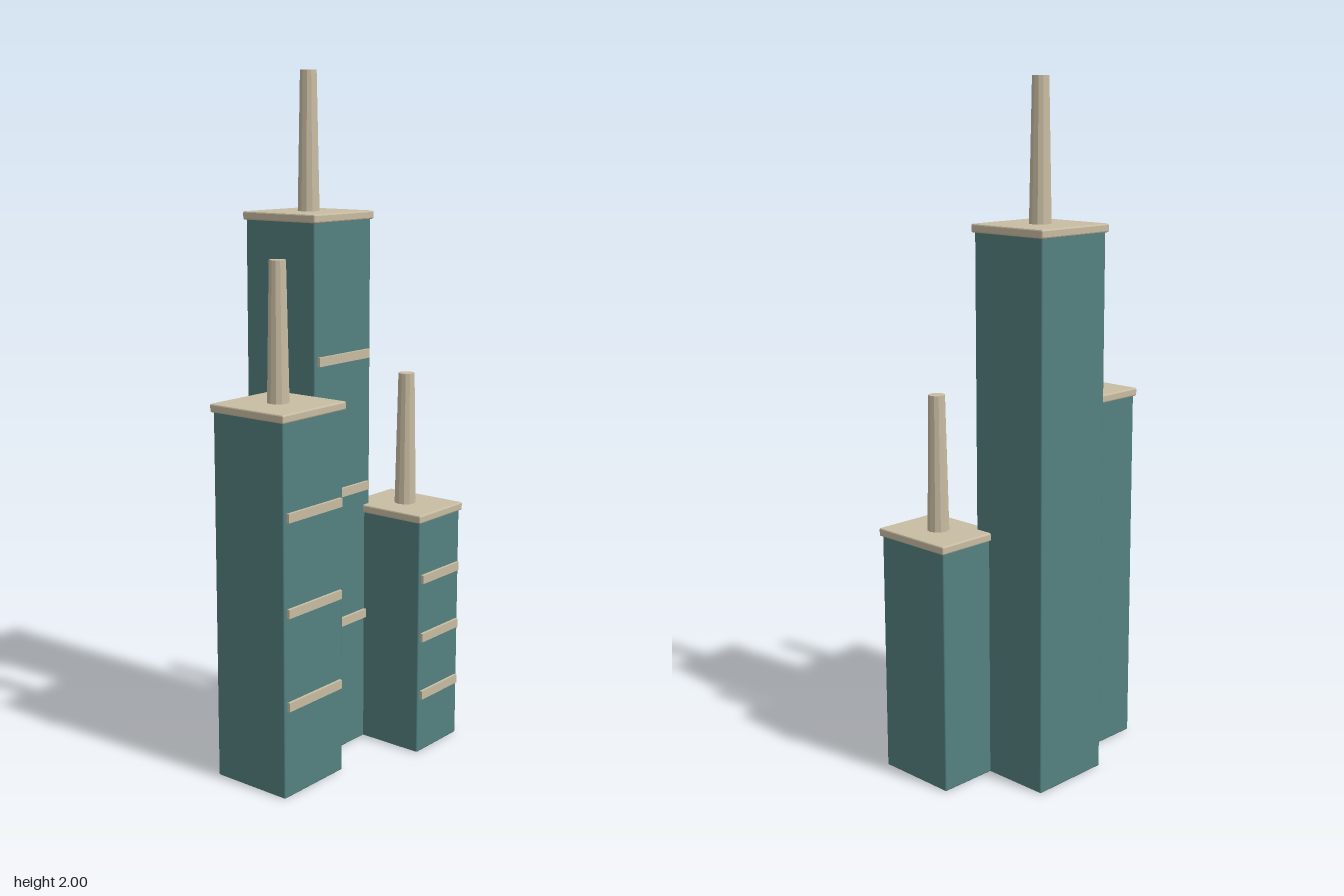
import * as THREE from 'three';
import { RoundedBoxGeometry } from 'three/addons/geometries/RoundedBoxGeometry.js';

export function createModel() {
  const model = new THREE.Group();
  model.name = 'towerCluster';

  const teal = new THREE.MeshStandardMaterial({ color: 0x548080 });
  teal.name = 'teal wall';
  const sand = new THREE.MeshStandardMaterial({ color: 0xc8bca2, flatShading: true });
  sand.name = 'sand trim';

  function add(parent, name, geometry, material, x, y, z) {
    const mesh = new THREE.Mesh(geometry, material);
    mesh.name = name;
    mesh.position.set(x, y, z);
    parent.add(mesh);
  }

  function addTower(name, x, z, width, height) {
    const depth = 0.254;
    const tower = new THREE.Group();
    tower.name = name;
    tower.position.set(x, 0, z);

    // Shaft and overhanging roof slab with slightly bevelled edges
    add(tower, 'shaft', new RoundedBoxGeometry(width, height, depth, 1, 0.004), teal, 0, height / 2, 0);
    add(tower, 'roofSlab', new RoundedBoxGeometry(width + 0.014, 0.024, depth + 0.014, 1, 0.004), sand, 0, height + 0.004, 0);

    // Tapered spire
    add(tower, 'spire', new THREE.CylinderGeometry(0.024, 0.032, 0.4, 12), sand, 0, height + 0.21, 0);

    // Three evenly spaced bands on the front
    for (let i = 1; i <= 3; i++) {
      add(tower, 'frontBand', new THREE.BoxGeometry(width * 0.9, 0.026, 0.016), sand, 0, (height * i) / 4, depth / 2 + 0.001);
    }
    model.add(tower);
  }

  addTower('rightTower', -0.219, 0, 0.254, 1.08);
  addTower('centreTower', 0.037, -0.104, 0.254, 1.59);
  addTower('leftTower', 0.242, 0.1, 0.202, 0.72);

  return model;
}
